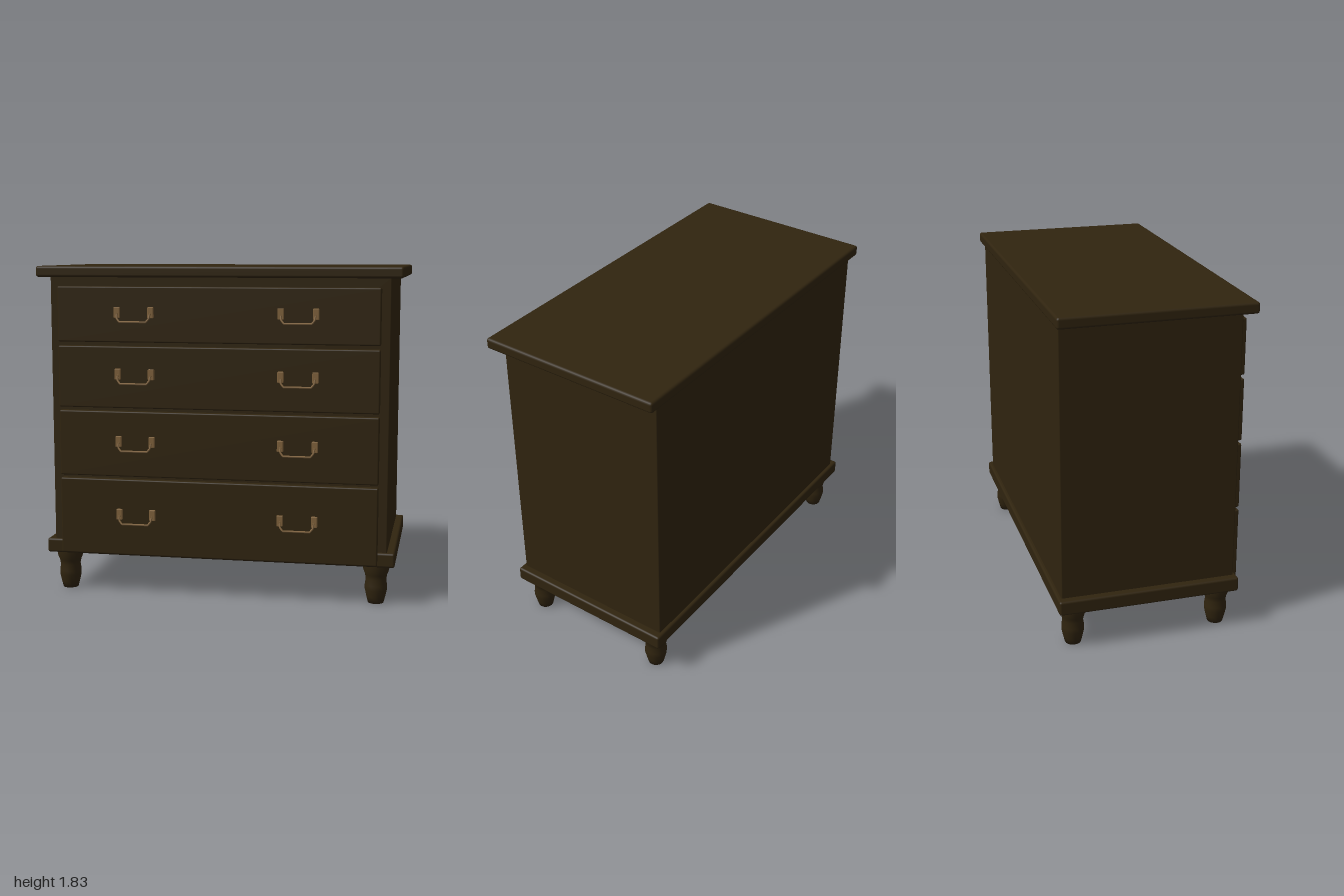
import * as THREE from 'three';
import { RoundedBoxGeometry } from 'three/addons/geometries/RoundedBoxGeometry.js';

export function createModel() {
  const wood = new THREE.MeshStandardMaterial({ color: 0x30240f });
  wood.name = 'dark walnut';
  const brass = new THREE.MeshStandardMaterial({ color: 0x80623c });
  brass.name = 'aged brass';

  const group = new THREE.Group();
  group.name = 'chestOfDrawers';

  function add(parent, name, geometry, material) {
    const mesh = new THREE.Mesh(geometry, material);
    mesh.name = name;
    parent.add(mesh);
    return mesh;
  }

  // Rounded slab given by its extents; x is symmetric
  function slab(name, halfX, y0, y1, z0, z1, radius) {
    const geo = new RoundedBoxGeometry(halfX * 2, y1 - y0, z1 - z0, 2, radius);
    geo.translate(0, (y0 + y1) / 2, (z0 + z1) / 2);
    return add(group, name, geo, wood);
  }

  // Carcass
  slab('topBoard', 1, 1.77, 1.83, -0.528, 0.508, 0.014);
  slab('body', 0.935, 0.25, 1.775, -0.508, 0.447, 0.006);
  slab('basePlinth', 0.978, 0.217, 0.297, -0.528, 0.465, 0.012);

  // Drawer fronts: bottom, top, handle height
  const drawers = [
    [1.417, 1.72, 1.58],
    [1.055, 1.395, 1.243],
    [0.672, 1.036, 0.87],
    [0.227, 0.655, 0.46],
  ];

  // Handle: two back plates with posts and a hanging bail
  const plateGeo = new RoundedBoxGeometry(0.034, 0.06, 0.02, 1, 0.004);
  const postGeo = new THREE.CylinderGeometry(0.007, 0.007, 0.024, 8).rotateX(Math.PI / 2);
  const bailPath = new THREE.CurvePath();
  const bailPoints = [
    [-0.092, -0.008, 0.511], [-0.09, -0.03, 0.518], [-0.074, -0.05, 0.523],
    [0.074, -0.05, 0.523], [0.09, -0.03, 0.518], [0.092, -0.008, 0.511],
  ].map((p) => new THREE.Vector3(...p));
  for (let i = 1; i < bailPoints.length; i++) {
    bailPath.add(new THREE.LineCurve3(bailPoints[i - 1], bailPoints[i]));
  }
  const bailGeo = new THREE.TubeGeometry(bailPath, 40, 0.0055, 8);

  drawers.forEach(([y0, y1, handleY], i) => {
    slab('drawerFront' + (i + 1), 0.885, y0, y1, 0.435, 0.487, 0.008);
    for (const x of [-0.45, 0.45]) {
      const handle = new THREE.Group();
      handle.name = 'drawerHandle';
      handle.position.set(x, handleY, 0);
      for (const side of [-1, 1]) {
        add(handle, 'handlePlate', plateGeo, brass).position.set(side * 0.094, 0, 0.495);
        add(handle, 'handlePost', postGeo, brass).position.set(side * 0.092, -0.008, 0.504);
      }
      add(handle, 'handleBail', bailGeo, brass);
      group.add(handle);
    }
  });

  // Turned legs
  const profile = [
    [0, 0], [0.043, 0], [0.052, 0.035], [0.061, 0.075], [0.061, 0.1],
    [0.056, 0.135], [0.061, 0.16], [0.071, 0.185], [0.072, 0.225],
  ].map(([r, y]) => new THREE.Vector2(r, y));
  const legGeo = new THREE.LatheGeometry(profile, 16);
  for (const x of [-0.874, 0.874]) {
    for (const z of [-0.434, 0.374]) {
      add(group, z > 0 ? 'frontLeg' : 'backLeg', legGeo, wood).position.set(x, 0, z);
    }
  }

  return group;
}
